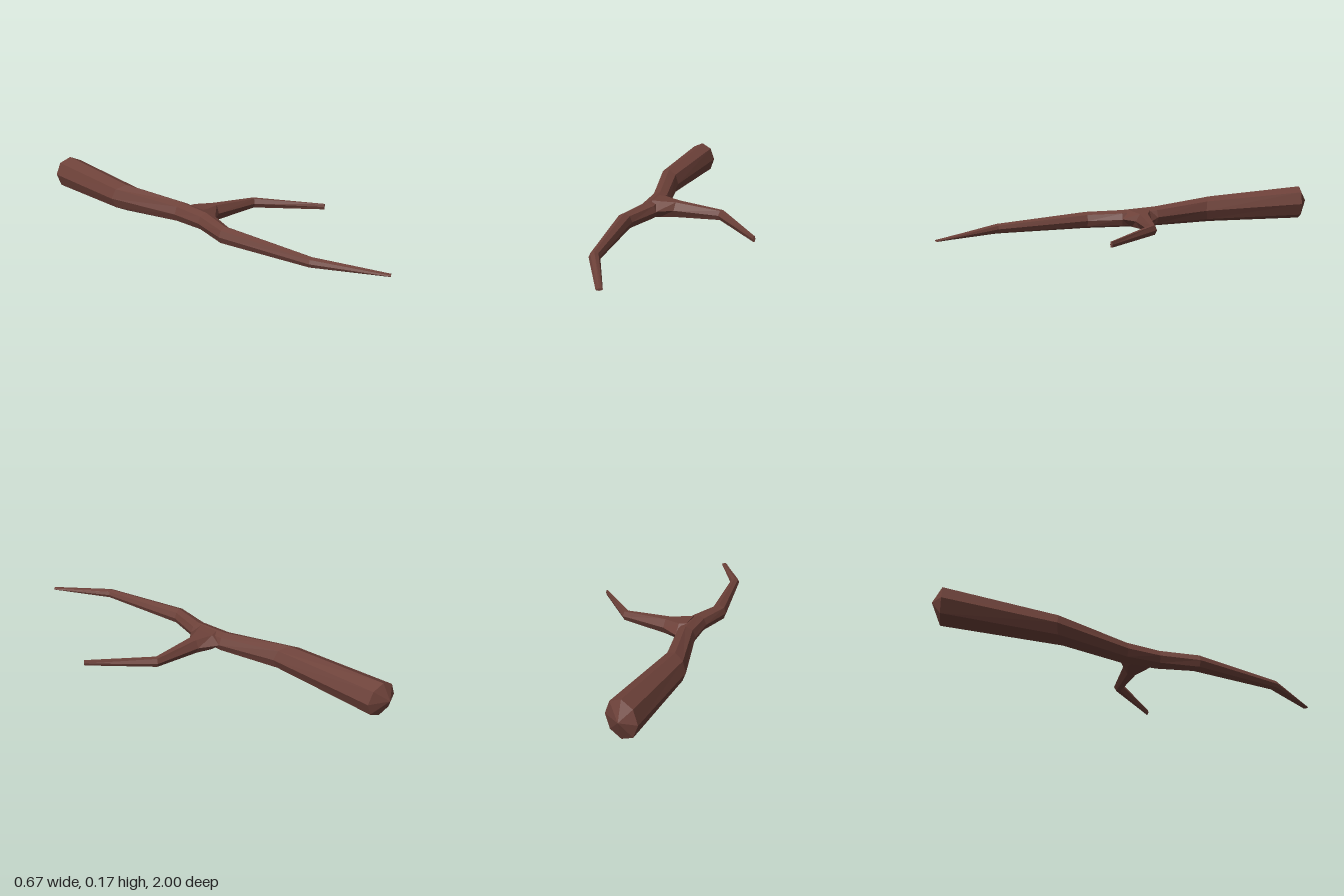
import * as THREE from 'three';

// Lofts a limb through rings given as [leftX, leftZ, rightX, rightZ, lowY, highY];
// start and end are the centre points of the two caps.
function limb(name, sides, rings, start, end, material) {
  const points = [];
  const maxSin = sides % 4 === 0 ? 1 : Math.sin(Math.PI / 3);
  for (const [ax, az, bx, bz, low, high] of rings) {
    for (let j = 0; j < sides; j++) {
      const t = (j / sides) * Math.PI * 2;
      const c = Math.cos(t) / 2;
      const s = Math.sin(t) / (2 * maxSin);
      points.push(
        (ax + bx) / 2 + (bx - ax) * c,
        (low + high) / 2 + (high - low) * s,
        (az + bz) / 2 + (bz - az) * c
      );
    }
  }
  const first = rings.length * sides;
  points.push(...start, ...end);

  const index = [];
  const last = (rings.length - 1) * sides;
  for (let j = 0; j < sides; j++) {
    const k = (j + 1) % sides;
    for (let i = 0; i < last; i += sides) {
      index.push(i + j, i + k, i + sides + j, i + k, i + sides + k, i + sides + j);
    }
    index.push(first, k, j, first + 1, last + j, last + k);
  }

  const indexed = new THREE.BufferGeometry();
  indexed.setAttribute('position', new THREE.Float32BufferAttribute(points, 3));
  indexed.setIndex(index);
  const geometry = indexed.toNonIndexed();
  geometry.computeVertexNormals();
  const mesh = new THREE.Mesh(geometry, material);
  mesh.name = name;
  return mesh;
}

export function createModel() {
  const group = new THREE.Group();
  group.name = 'branch';
  const bark = new THREE.MeshStandardMaterial({ color: 0x6d4139, flatShading: true });
  bark.name = 'reddish brown bark';

  // Thick broken end, tapering and bending to the long thin tip
  group.add(limb('mainStem', 8, [
    [-0.25, -0.985, -0.10, -0.93, 0.0, 0.172],
    [-0.31, -0.49, -0.19, -0.40, 0.005, 0.137],
    [-0.26, -0.11, -0.163, -0.11, 0.012, 0.11],
    [-0.275, 0.05, -0.185, 0.075, 0.015, 0.1],
    [-0.335, 0.23, -0.26, 0.23, 0.01, 0.092],
    [-0.312, 0.695, -0.266, 0.68, 0.018, 0.065],
    [-0.18, 0.998, -0.155, 0.986, 0.024, 0.033],
  ], [-0.175, 0.093, -1.0], [-0.168, 0.028, 0.992], bark));

  // Smaller twig forking off to the side
  group.add(limb('sideTwig', 6, [
    [-0.22, 0.08, -0.2, -0.11, 0.02, 0.104],
    [-0.185, 0.075, -0.163, -0.11, 0.02, 0.1],
    [-0.11, 0.035, -0.085, -0.04, 0.021, 0.095],
    [0.115, 0.07, 0.142, 0.036, 0.035, 0.08],
    [0.32, 0.341, 0.332, 0.334, 0.034, 0.06],
  ], [-0.21, 0.06, -0.015], [0.326, 0.047, 0.338], bark));

  return group;
}
